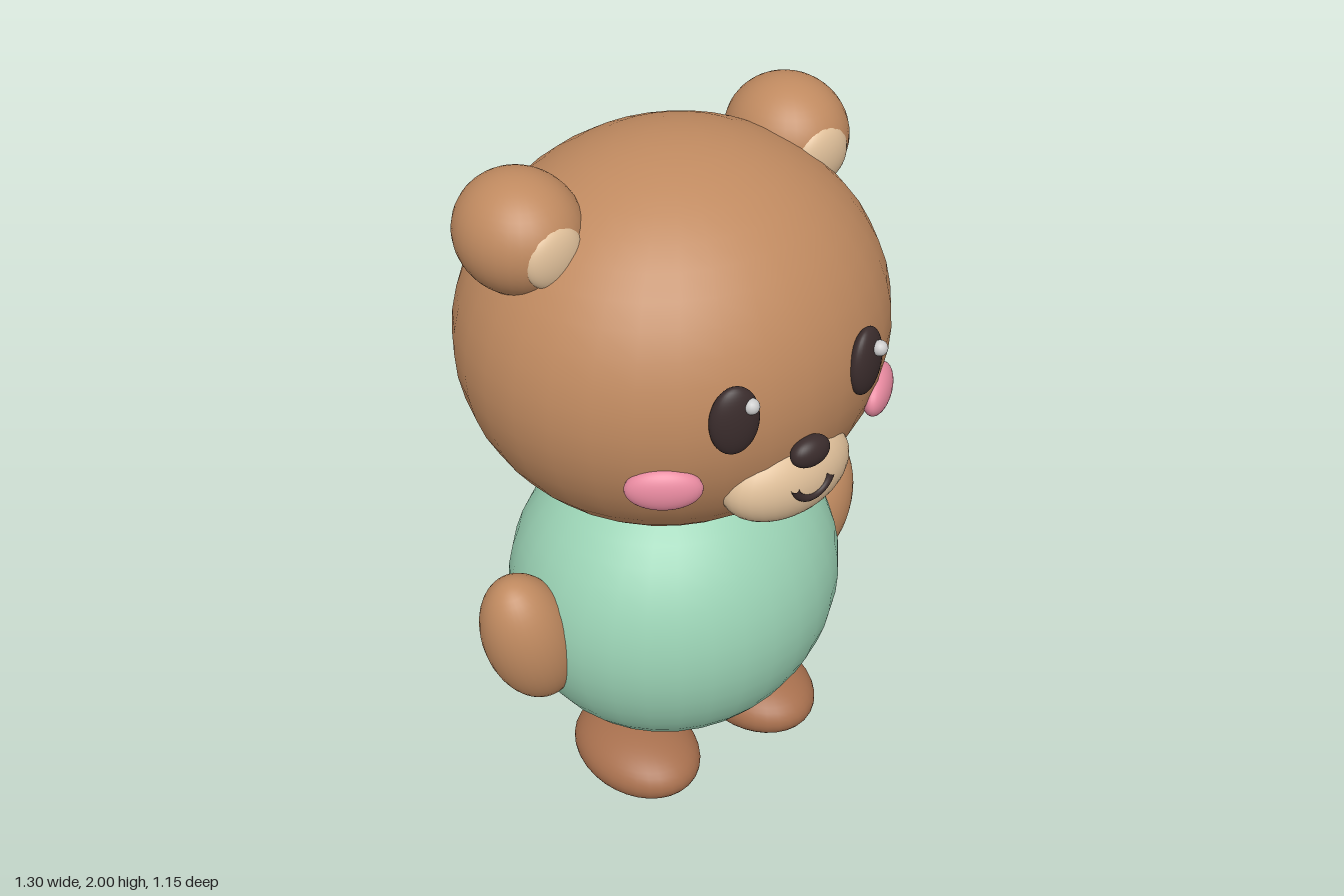
import * as THREE from 'three';

const mat = (color) => new THREE.MeshStandardMaterial({ color });

export function createModel() {
  const bear = new THREE.Group();
  bear.name = 'teddyBear';

  const fur = mat(0xc08a60);
  const paw = mat(0xa8704e);
  const mint = mat(0x9bd3b5);
  const cream = mat(0xe0c09a);
  const dark = mat(0x3a2c2c);
  const pink = mat(0xe88aa0);
  const white = mat(0xffffff);

  // Adds one ellipsoid from its centre, radii and rotation
  function blob(name, material, pos, radii, rot = [0, 0, 0], w = 32, h = 24) {
    const mesh = new THREE.Mesh(new THREE.SphereGeometry(1, w, h), material);
    mesh.name = name;
    mesh.position.set(...pos);
    mesh.scale.set(...radii);
    mesh.rotation.set(...rot);
    bear.add(mesh);
    return mesh;
  }

  // Body, head and tail
  blob('body', mint, [0, 0.6, -0.015], [0.495, 0.48, 0.45]);
  blob('head', fur, [0, 1.45, -0.02], [0.6, 0.54, 0.555]);
  blob('tail', fur, [0, 0.305, -0.44], [0.1, 0.1, 0.1]);

  // Muzzle and nose
  blob('muzzle', cream, [0, 1.225, 0.445], [0.2, 0.13, 0.115]);
  blob('nose', dark, [0, 1.335, 0.54], [0.06, 0.043, 0.035]);

  // Smile: an arc opening upward
  const arc = 2.6;
  const smile = new THREE.Mesh(new THREE.TorusGeometry(0.062, 0.011, 10, 24, arc), dark);
  smile.name = 'mouth';
  smile.position.set(0, 1.265, 0.556);
  smile.rotation.z = -Math.PI / 2 - arc / 2;
  bear.add(smile);

  // Paired parts
  for (const [side, s] of [['left', 1], ['right', -1]]) {
    blob(side + 'Ear', fur, [s * 0.433, 1.842, -0.083], [0.162, 0.159, 0.177]);
    blob(side + 'InnerEar', cream, [s * 0.43, 1.833, 0.06], [0.085, 0.085, 0.04]);
    blob(side + 'Eye', dark, [s * 0.215, 1.497, 0.497], [0.066, 0.098, 0.033], [0, s * 0.33, 0]);
    // Both glints sit toward the same side of their eye
    blob(side + 'EyeGlint', white, [s * 0.21 + 0.024, 1.543, 0.527], [0.021, 0.021, 0.021], [0, 0, 0], 16, 12);
    blob(side + 'Cheek', pink, [s * 0.36, 1.3, 0.402], [0.1, 0.061, 0.038], [0, s * 0.637, 0]);
    blob(side + 'Arm', fur, [s * 0.512, 0.612, -0.016], [0.13, 0.223, 0.13], [0, 0, -s * 0.26]);
    blob(side + 'Foot', paw, [s * 0.222, 0.102, 0.088], [0.165, 0.1, 0.218]);
  }

  return bear;
}
